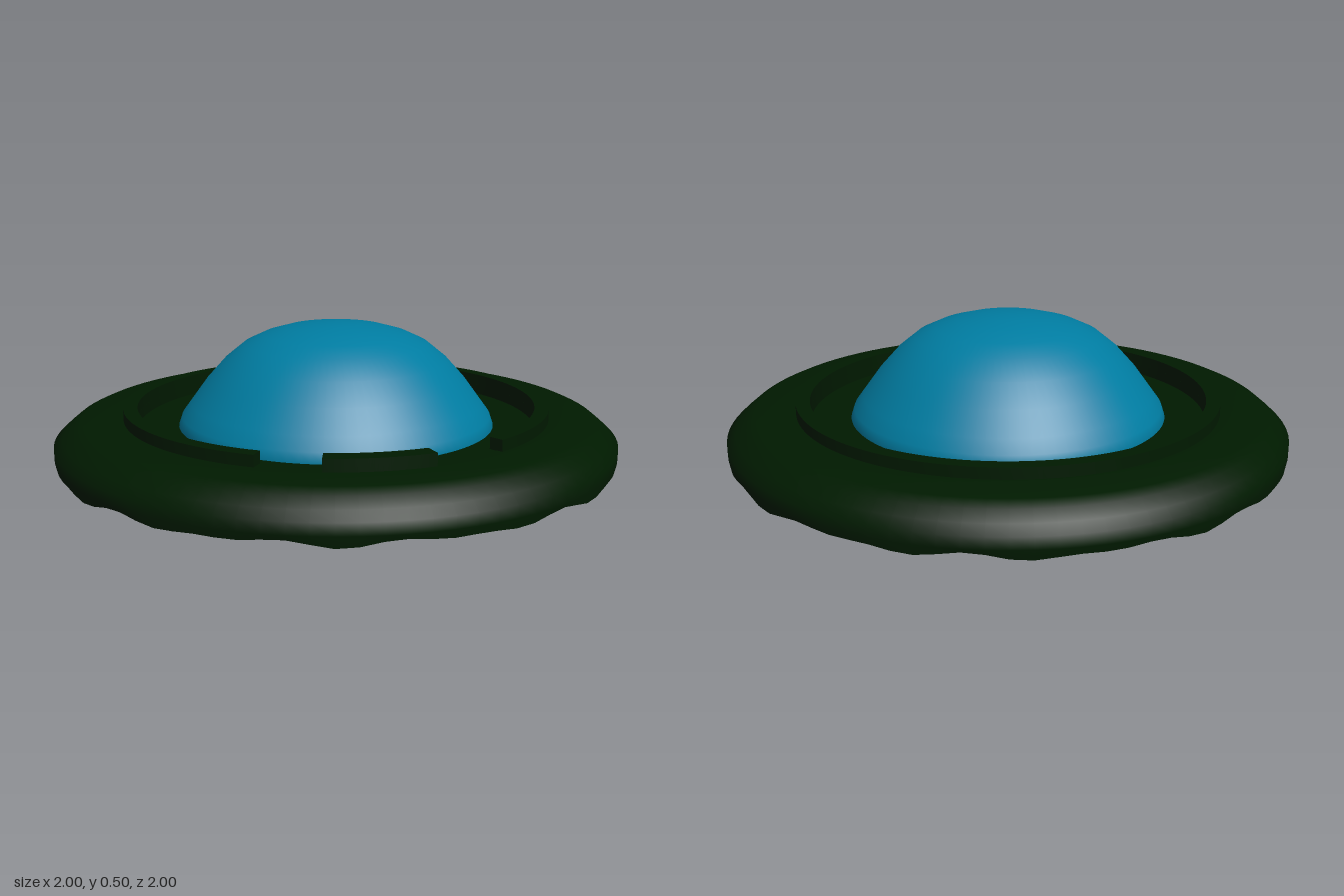
import * as THREE from 'three';
import { toCreasedNormals } from 'three/addons/utils/BufferGeometryUtils.js';

const green = new THREE.MeshStandardMaterial({ name: 'dark green', color: 0x001a00 });
const blue = new THREE.MeshStandardMaterial({ name: 'blue', color: 0x007ca1 });

// Revolve a [radius, height] profile, listed anticlockwise
function lathe(points, crease = 0.6) {
  const geo = new THREE.LatheGeometry(points.map(([r, y]) => new THREE.Vector2(r, y)), 90);
  return toCreasedNormals(geo, crease);
}

// Flat-topped arc of the collar; angles run from the front (+z) towards +x
function arcBand(inner, outer, y0, y1, from, to) {
  const a = from - Math.PI / 2, b = to - Math.PI / 2;
  const shape = new THREE.Shape();
  shape.absarc(0, 0, outer, a, b, false);
  shape.absarc(0, 0, inner, b, a, true);
  const geo = new THREE.ExtrudeGeometry(shape, { depth: y1 - y0, bevelEnabled: false, curveSegments: 48 });
  geo.rotateX(-Math.PI / 2).translate(0, y0, 0);
  return toCreasedNormals(geo, 0.5);
}

export function createModel() {
  const group = new THREE.Group();
  const add = (name, geo, mat) => {
    const mesh = new THREE.Mesh(geo, mat);
    mesh.name = name;
    group.add(mesh);
  };

  // Outer ring: a thin shell, open underneath, with an uneven lower lip
  const ring = lathe([
    [0.975, 0.045], [0.995, 0.045], [1, 0.07], [1, 0.11], [0.97, 0.138], [0.935, 0.167], [0.9, 0.183],
    [0.74, 0.183], [0.74, 0.168], [0.89, 0.168], [0.93, 0.148], [0.96, 0.125], [0.982, 0.1], [0.975, 0.045],
  ], 0.9);
  const p = ring.attributes.position;
  for (let i = 0; i < p.count; i++) {
    if (p.getY(i) > 0.06) continue;
    const a = Math.atan2(p.getX(i), p.getZ(i));
    p.setY(i, p.getY(i) + 0.007 * Math.sin(a * 13) + 0.006 * Math.sin(a * 21 + 1));
  }
  add('outerRing', toCreasedNormals(ring, 0.9), green);

  // Sunken deck between the collar and the dome
  add('deck', lathe([[0.54, 0.115], [0.73, 0.115], [0.73, 0.145], [0.54, 0.145], [0.54, 0.115]]), green);

  // Collar: a full wall below, broken by two gaps at the front above
  add('collarWall', lathe([[0.715, 0.008], [0.76, 0.008], [0.76, 0.182], [0.71, 0.182], [0.71, 0.115], [0.715, 0.008]]), green);
  add('frontCollarTab', arcBand(0.71, 0.77, 0.175, 0.225, -0.19, 0.27), green);
  add('upperCollar', arcBand(0.71, 0.76, 0.175, 0.222, 0.62, Math.PI * 2 - 0.466), green);

  // Dome with a shallow flat-bottomed bowl beneath
  add('dome', lathe([
    [0, 0.002], [0.5, 0.002], [0.535, 0.045], [0.558, 0.1], [0.567, 0.145], [0.555, 0.18], [0.522, 0.225],
    [0.465, 0.303], [0.4, 0.375], [0.33, 0.432], [0.26, 0.465], [0.18, 0.488], [0.09, 0.502], [0, 0.506],
  ], 0.7), blue);

  return group;
}
